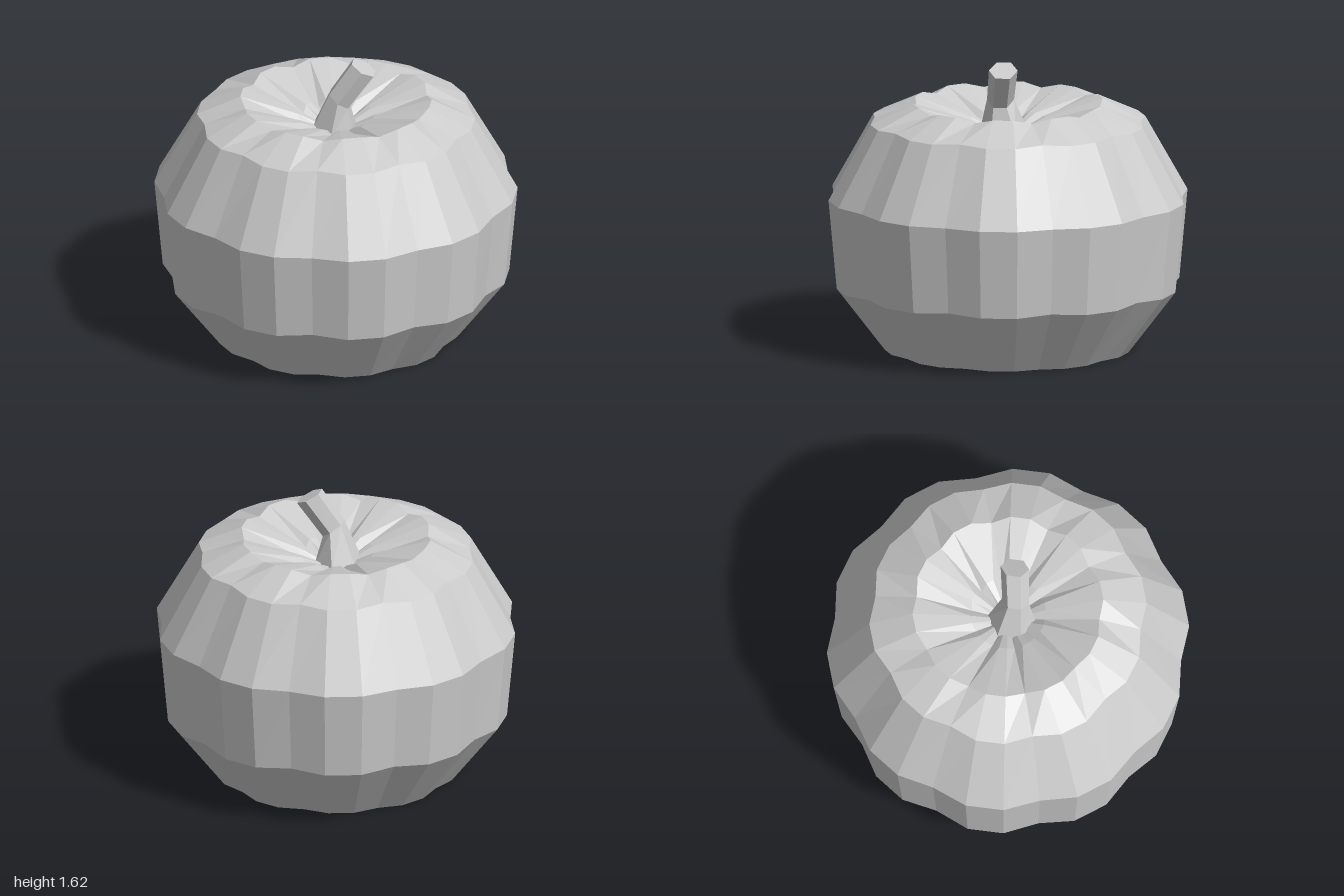
import * as THREE from 'three';

const material = new THREE.MeshStandardMaterial({ color: 0xcccccc, flatShading: true });

// Skins a stack of equal rings (bottom to top) and closes both ends with fans.
function loft(name, rings) {
  const n = rings[0].length;
  const pos = [];
  const tri = (...pts) => pts.forEach((p) => pos.push(p.x, p.y, p.z));
  const centre = (ring) => ring.reduce((s, p) => s.add(p), new THREE.Vector3()).divideScalar(n);
  const first = rings[0], last = rings[rings.length - 1];
  const bottom = centre(first), top = centre(last);
  for (let i = 0; i < n; i++) {
    const j = (i + 1) % n;
    tri(bottom, first[j], first[i]);
    for (let k = 0; k < rings.length - 1; k++) {
      const a = rings[k], b = rings[k + 1];
      tri(a[i], a[j], b[j]);
      tri(a[i], b[j], b[i]);
    }
    tri(top, last[i], last[j]);
  }
  const geometry = new THREE.BufferGeometry();
  geometry.setAttribute('position', new THREE.Float32BufferAttribute(pos, 3));
  geometry.computeVertexNormals();
  const mesh = new THREE.Mesh(geometry, material);
  mesh.name = name;
  return mesh;
}

// Ribbed body: ten lobes, every third column is a groove.
function createBody() {
  // lobe radius, lobe height, groove radius, groove height
  const profile = [
    [0.69, 0, 0.66, 0],
    [0.96, 0.355, 0.92, 0.365],
    [1.006, 0.855, 0.966, 0.855],
    [0.77, 1.275, 0.74, 1.285],
    [0.53, 1.385, 0.51, 1.36],
    [0.21, 1.285, 0.2, 1.25],
    [0.08, 1.22, 0.07, 1.2],
  ];
  const columns = 30;
  return loft('ribbedBody', profile.map(([lr, ly, gr, gy]) =>
    Array.from({ length: columns }, (_, i) => {
      const angle = (i / columns) * Math.PI * 2;
      const groove = i % 3 === 0;
      const r = groove ? gr : lr;
      return new THREE.Vector3(r * Math.sin(angle), groove ? gy : ly, r * Math.cos(angle));
    })));
}

// Bent six-sided stem with a flared foot.
function createStem() {
  // centre x, y, z, radius, tilt
  const sections = [
    [-0.01, 1.2, 0.02, 0.14, 0],
    [0.025, 1.4, 0.04, 0.075, 0.65],
    [0.157, 1.59, 0.018, 0.08, 0.5],
  ];
  return loft('stem', sections.map(([x, y, z, r, tilt]) =>
    Array.from({ length: 6 }, (_, i) => {
      const angle = (i / 6) * Math.PI * 2;
      const u = r * Math.sin(angle);
      return new THREE.Vector3(
        x + u * Math.cos(tilt), y - u * Math.sin(tilt), z + r * Math.cos(angle));
    })));
}

export function createModel() {
  const model = new THREE.Group();
  model.name = 'pumpkin';
  model.add(createBody(), createStem());
  return model;
}
